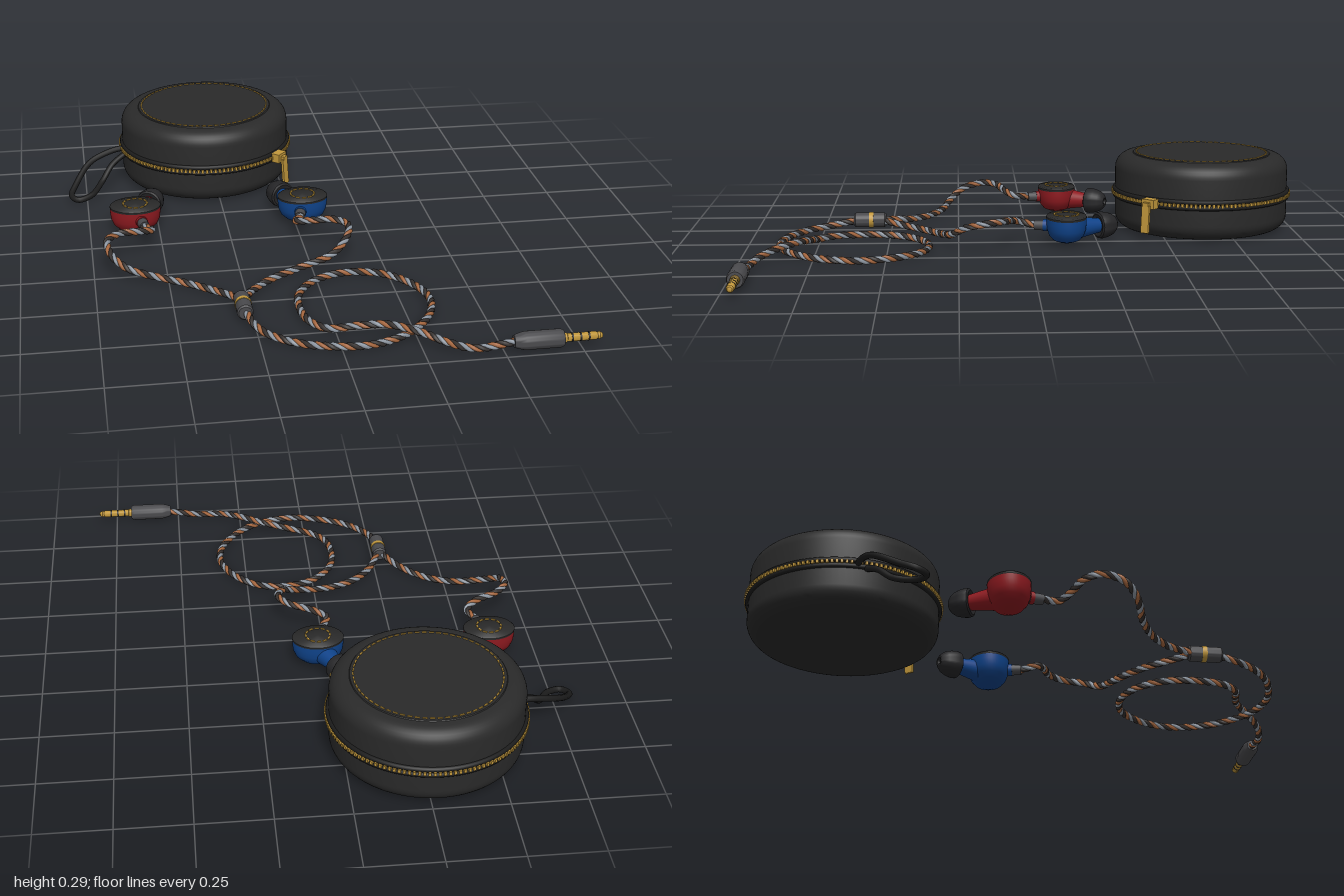
import * as THREE from 'three';
import { mergeGeometries, toCreasedNormals } from 'three/addons/utils/BufferGeometryUtils.js';

const mat = (name, color, side = THREE.FrontSide) => {
  const m = new THREE.MeshStandardMaterial({ color, side });
  m.name = name;
  return m;
};
const M = {
  shell: mat('case black', 0x2a2a2a),
  tape: mat('tape black', 0x1c1c1c),
  gold: mat('gold', 0xc2983c),
  red: mat('bud red', 0x8e1a20),
  blue: mat('bud blue', 0x0f438a),
  rubber: mat('tip rubber', 0x262628, THREE.DoubleSide),
  metal: mat('gunmetal', 0x4a4a4d),
  copper: mat('copper strand', 0xa8683f),
  silver: mat('silver strand', 0x8f98a3),
  dark: mat('dark strand', 0x35302e),
};
const V = (x, y, z) => new THREE.Vector3(x, y, z);

function part(parent, name, geo, material, pos = [0, 0, 0]) {
  const mesh = new THREE.Mesh(geo, material);
  mesh.name = name;
  mesh.position.set(...pos);
  parent.add(mesh);
  return mesh;
}
function group(parent, name, pos = [0, 0, 0], ry = 0) {
  const g = new THREE.Group();
  g.name = name;
  g.position.set(...pos);
  g.rotation.y = ry;
  parent.add(g);
  return g;
}
// Turned solid from [radius, height] pairs, with sharp edges kept
const lathe = (pts, n = 64) =>
  toCreasedNormals(new THREE.LatheGeometry(pts.map(p => new THREE.Vector2(...p)), n), 0.6);

// Small blocks arranged in a circle, merged into one geometry
function dashRing(n, r, y, radial, height, along) {
  const list = [];
  for (let i = 0; i < n; i++) {
    const a = (i / n) * Math.PI * 2;
    const b = new THREE.BoxGeometry(radial, height, along);
    b.translate(r, y, 0).rotateY(a);
    list.push(b);
  }
  return mergeGeometries(list);
}

// Quarter-circle points for a rounded corner
function corner(cx, cy, r, from, to) {
  const pts = [];
  for (let i = 0; i <= 8; i++) {
    const a = from + ((to - from) * i) / 8;
    pts.push([cx + r * Math.cos(a), cy + r * Math.sin(a)]);
  }
  return pts;
}

function buildCase(root) {
  const g = group(root, 'carryCase', [-0.277, 0, -0.664]);
  const R = 0.322, c = 0.055, top = 0.282;
  part(g, 'caseShell', lathe([[0, 0.004],
    ...corner(R - c, 0.004 + c, c, -Math.PI / 2, 0),
    ...corner(R - c, top - c, c, 0, Math.PI / 2), [0, top]], 96), M.shell);
  part(g, 'lidPanel', lathe([[0.258, top - 0.002], [0.254, top + 0.003], [0, top + 0.004]], 96), M.shell);
  part(g, 'lidStitching', dashRing(64, 0.243, top + 0.004, 0.005, 0.004, 0.016), M.gold);

  // Zipper: two tapes with teeth between them
  for (const s of [-1, 1])
    part(g, s < 0 ? 'lowerZipperTape' : 'upperZipperTape',
      new THREE.TorusGeometry(0.323, 0.009, 8, 128).rotateX(Math.PI / 2), M.tape, [0, 0.137 + s * 0.01, 0]);
  part(g, 'zipperTeeth', dashRing(130, 0.328, 0.137, 0.016, 0.012, 0.009), M.gold);

  // Slider and hanging pull tab
  const pull = group(g, 'zipperPull', [0, 0, 0], -0.7);
  part(pull, 'slider', new THREE.BoxGeometry(0.034, 0.034, 0.052), M.gold, [0.344, 0.137, 0]);
  part(pull, 'pullHinge', new THREE.BoxGeometry(0.02, 0.014, 0.024), M.gold, [0.366, 0.137, 0]);
  part(pull, 'pullTab', new THREE.BoxGeometry(0.009, 0.1, 0.032), M.gold, [0.372, 0.083, 0]).rotation.z = 0.07;

  // Wrist strap
  const strap = new THREE.CatmullRomCurve3([
    V(-0.58, 0.138, -0.632), V(-0.65, 0.128, -0.618), V(-0.73, 0.1, -0.585), V(-0.79, 0.045, -0.5),
    V(-0.808, 0.022, -0.45), V(-0.785, 0.016, -0.418), V(-0.735, 0.022, -0.44), V(-0.69, 0.045, -0.515),
    V(-0.645, 0.095, -0.565), V(-0.575, 0.132, -0.61)]);
  part(root, 'wristStrap', new THREE.TubeGeometry(strap, 80, 0.011, 10), M.tape);
}

// Earbud; side is -1 for red and +1 for blue
function buildBud(root, side, color) {
  const g = group(root, side < 0 ? 'rightEarbud' : 'leftEarbud', [-0.277 + side * 0.307, 0, -0.137]);
  const oval = geo => geo.scale(0.091, 1, 0.072);
  part(g, 'budBody', oval(new THREE.LatheGeometry([[0, 0.008], [0.4, 0.01], [0.68, 0.018], [0.87, 0.034],
    [0.97, 0.055], [1, 0.078], [1, 0.097]].map(p => new THREE.Vector2(...p)), 48)), color);
  part(g, 'facePlate', oval(lathe([[1, 0.095], [1.01, 0.098], [1.01, 0.102], [0.95, 0.107], [0, 0.11]], 48)), M.shell);
  part(g, 'facePlateRing', dashRing(12, 0.043, 0.109, 0.006, 0.005, 0.015), M.gold);

  // Nozzle and mushroom tip, pointing inward and back
  const n = group(g, 'nozzleAssembly', [0, 0.056, 0], side * 0.445);
  part(n, 'nozzle', new THREE.CylinderGeometry(0.024, 0.043, 0.12, 32).rotateX(-Math.PI / 2), color, [0, 0, -0.085]);
  part(n, 'earTip', lathe([[0.022, 0.006], [0.04, 0], [0.047, 0.004], [0.049, 0.016], [0.046, 0.036],
    [0.039, 0.056], [0.028, 0.07], [0.018, 0.077], [0.012, 0.077], [0.01, 0.068], [0, 0.068]], 32)
    .rotateX(-Math.PI / 2), M.rubber, [0, 0, -0.128]);

  // Cable connector
  const plug = group(g, 'cableConnector', [-side * 0.021, 0.066, 0.087], -side * 0.2);
  part(plug, 'connectorSleeve', new THREE.CylinderGeometry(0.018, 0.02, 0.055, 20).rotateX(Math.PI / 2), M.metal);
  part(plug, 'connectorRing', new THREE.CylinderGeometry(0.0215, 0.0215, 0.014, 20).rotateX(Math.PI / 2), color, [0, 0, -0.012]);
}

// Twisted cable: three strands wound around a path
function buildCable(root, name, pts) {
  const g = group(root, name);
  const path = new THREE.CatmullRomCurve3(pts.map(p => V(...p)), false, 'centripetal');
  const length = path.getLength();
  const n = Math.round(length / 0.0065);
  const frames = path.computeFrenetFrames(n);
  const strands = [M.copper, M.silver, M.dark];
  strands.forEach((m, k) => {
    const helix = [];
    for (let i = 0; i <= n; i++) {
      const a = (i / n) * (length / 0.075) * Math.PI * 2 + (k / 3) * Math.PI * 2;
      helix.push(path.getPointAt(i / n)
        .addScaledVector(frames.normals[i], Math.cos(a) * 0.0065)
        .addScaledVector(frames.binormals[i], Math.sin(a) * 0.0065));
    }
    const curve = new THREE.CatmullRomCurve3(helix);
    curve.arcLengthDivisions = n * 2;
    part(g, m.name, new THREE.TubeGeometry(curve, n, 0.0072, 6), m);
  });
}

export function createModel() {
  const root = new THREE.Group();
  root.name = 'earphonesWithCase';
  buildCase(root);
  buildBud(root, -1, M.red);
  buildBud(root, 1, M.blue);

  // Bud cables from each connector to the splitter
  buildCable(root, 'rightBudCable', [[-0.565, 0.066, -0.03], [-0.535, 0.075, 0.03], [-0.57, 0.088, 0.065],
    [-0.655, 0.1, 0.1], [-0.698, 0.1, 0.155], [-0.688, 0.08, 0.23], [-0.637, 0.048, 0.277], [-0.54, 0.025, 0.31],
    [-0.445, 0.018, 0.358], [-0.365, 0.02, 0.425], [-0.305, 0.03, 0.5], [-0.288, 0.034, 0.54]]);
  buildCable(root, 'leftBudCable', [[0.01, 0.066, -0.03], [-0.018, 0.075, 0.03], [0.03, 0.088, 0.062],
    [0.11, 0.1, 0.093], [0.15, 0.1, 0.15], [0.125, 0.08, 0.227], [0.07, 0.048, 0.272], [-0.05, 0.025, 0.312],
    [-0.155, 0.018, 0.37], [-0.225, 0.02, 0.445], [-0.258, 0.03, 0.51], [-0.266, 0.034, 0.54]]);

  // Main cable with its loop, lifted where it crosses itself
  const loop = [[-0.277, 0.62], [-0.245, 0.725], [-0.17, 0.81], [-0.066, 0.862], [0.06, 0.883], [0.18, 0.85],
    [0.28, 0.765], [0.336, 0.66], [0.342, 0.555], [0.294, 0.45], [0.21, 0.375], [0.1, 0.355], [-0.008, 0.397],
    [-0.076, 0.485], [-0.093, 0.58], [-0.076, 0.69], [-0.024, 0.75], [0.072, 0.776], [0.16, 0.805],
    [0.25, 0.868], [0.33, 0.925], [0.41, 0.952], [0.55, 0.957]];
  const lift = { 0: 0.034, 1: 0.02, 17: 0.032, 18: 0.044, 19: 0.042, 20: 0.028, 22: 0.034 };
  buildCable(root, 'mainCable', loop.map(([x, z], i) => [x, lift[i] ?? 0.016, z]));

  // Splitter
  const s = group(root, 'splitter', [-0.277, 0.034, 0.581]);
  part(s, 'splitterBarrel', lathe([[0, -0.06], [0.022, -0.06], [0.027, -0.054], [0.027, 0.054], [0.022, 0.06], [0, 0.06]], 32)
    .rotateX(Math.PI / 2), M.metal);
  part(s, 'splitterBand', new THREE.CylinderGeometry(0.0285, 0.0285, 0.016, 32).rotateX(Math.PI / 2), M.gold, [0, 0, -0.004]);

  // Audio plug, built along +x
  const j = group(root, 'audioPlug', [0, 0.034, 0.959]);
  const turned = pts => lathe(pts.map(([r, x]) => [r, x]), 32).rotateZ(-Math.PI / 2);
  part(j, 'plugBarrel', turned([[0, 0.53], [0.02, 0.53], [0.025, 0.545], [0.03, 0.565], [0.03, 0.68],
    [0.026, 0.69], [0, 0.69]]), M.metal);
  part(j, 'plugPin', turned([[0.016, 0.688], [0.016, 0.7], [0.0135, 0.702], [0.0135, 0.795], [0.0105, 0.801],
    [0.0125, 0.808], [0.008, 0.817], [0, 0.82]]), M.gold);
  for (const x of [0.718, 0.745, 0.772])
    part(j, 'insulatorRing', new THREE.CylinderGeometry(0.0142, 0.0142, 0.006, 24).rotateZ(Math.PI / 2), M.tape, [x, 0, 0]);

  return root;
}
